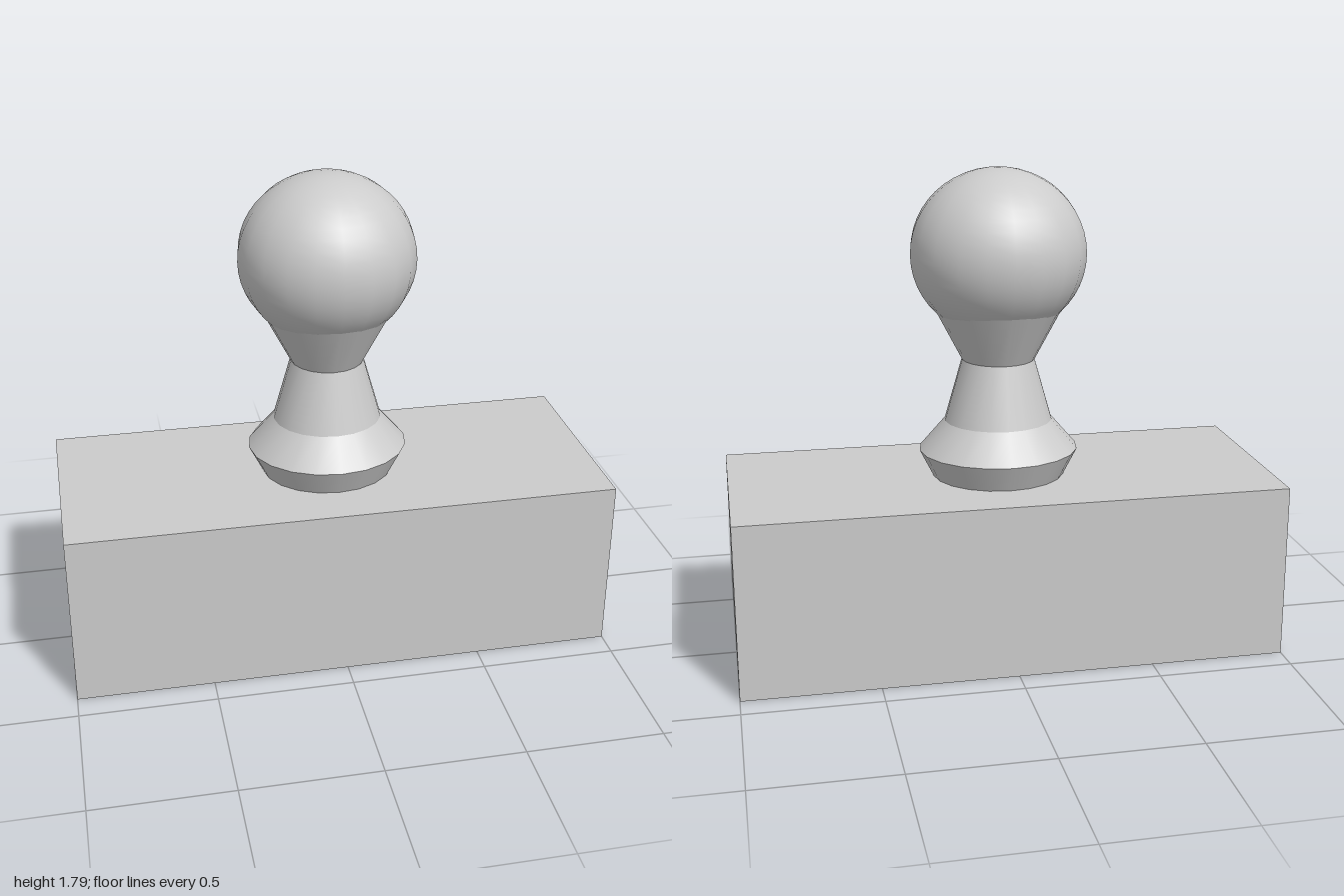
import * as THREE from 'three';

const SIDES = 20;

// Each ring of the stem: height, half width in x, half width in z
const STEM_RINGS = [
  [0.65, 0.245, 0.228],
  [0.75, 0.295, 0.275],
  [0.86, 0.2, 0.19],
  [1.09, 0.134, 0.139],
  [1.3, 0.243, 0.252],
];

// One smooth band between two elliptical rings, hard edged against its neighbours
function band([y0, x0, z0], [y1, x1, z1]) {
  const geometry = new THREE.CylinderGeometry(1, 1, 1, SIDES, 1, true);
  geometry.rotateY(Math.PI / 2);
  const p = geometry.attributes.position;
  for (let i = 0; i < p.count; i++) {
    const top = p.getY(i) > 0;
    p.setXYZ(i, p.getX(i) * (top ? x1 : x0), top ? y1 : y0, p.getZ(i) * (top ? z1 : z0));
  }
  // Slope normals, shared across the wrap-around seam
  const n = geometry.attributes.normal;
  const v = new THREE.Vector3();
  const slope = (x0 - x1) / (y1 - y0);
  for (let i = 0; i < n.count; i++) {
    v.set(n.getX(i), slope, n.getZ(i)).normalize();
    n.setXYZ(i, v.x, v.y, v.z);
  }
  return geometry;
}

export function createModel() {
  const model = new THREE.Group();
  const material = new THREE.MeshStandardMaterial({ color: 0xcccccc });
  const openMaterial = new THREE.MeshStandardMaterial({ color: 0xcccccc, side: THREE.DoubleSide });

  // Solid rectangular block
  const block = new THREE.Mesh(new THREE.BoxGeometry(2, 0.65, 0.806), material);
  block.name = 'block';
  block.position.y = 0.325;
  model.add(block);

  // Waisted handle stem with a flared collar at its foot
  const stem = new THREE.Group();
  stem.name = 'handleStem';
  const names = ['collarUnderside', 'collarTop', 'lowerStem', 'upperStem'];
  names.forEach((name, i) => {
    const mesh = new THREE.Mesh(band(STEM_RINGS[i], STEM_RINGS[i + 1]), openMaterial);
    mesh.name = name;
    stem.add(mesh);
  });
  model.add(stem);

  // Slightly flattened ball grip
  const knob = new THREE.Mesh(new THREE.SphereGeometry(0.32, SIDES, 24), material);
  knob.name = 'knob';
  knob.scale.y = 0.305 / 0.32;
  knob.position.y = 1.481;
  model.add(knob);

  return model;
}
